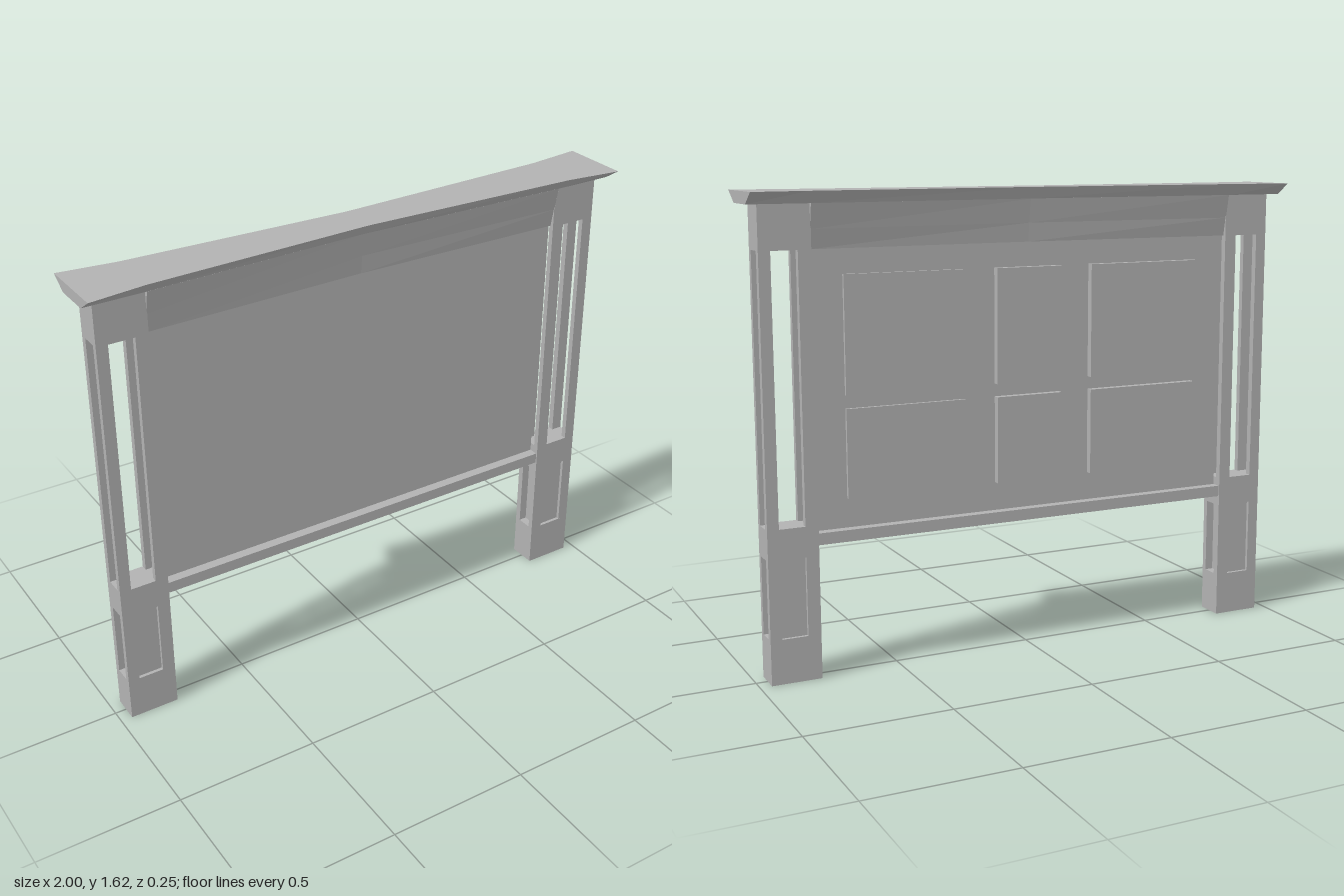
import * as THREE from 'three';

const paint = new THREE.MeshStandardMaterial({ color: 0xb2b2b2 });
paint.name = 'grey paint';

// Box from minimum and maximum corners
function block(parent, name, [x0, x1], [y0, y1], [z0, z1]) {
  const mesh = new THREE.Mesh(new THREE.BoxGeometry(x1 - x0, y1 - y0, z1 - z0), paint);
  mesh.position.set((x0 + x1) / 2, (y0 + y1) / 2, (z0 + z1) / 2);
  mesh.name = name;
  parent.add(mesh);
}

// Solid running along x: each section is [x, half depths from bottom to top]
function loft(name, heights, sections) {
  const rings = sections.map(([x, ...depths]) => {
    const front = depths.map((d, i) => [x, heights[i], d]);
    const back = depths.map((d, i) => [x, heights[i], -d]).reverse();
    return [...front, ...back];
  });
  const pos = [];
  const tri = (a, b, c) => pos.push(...a, ...b, ...c);
  const n = rings[0].length;
  for (let s = 0; s < rings.length - 1; s++) {
    for (let i = 0; i < n; i++) {
      const j = (i + 1) % n, a = rings[s], b = rings[s + 1];
      tri(a[i], b[i], b[j]);
      tri(a[i], b[j], a[j]);
    }
  }
  const first = rings[0], last = rings[rings.length - 1];
  for (let i = 1; i < n - 1; i++) {
    tri(first[0], first[i], first[i + 1]);
    tri(last[0], last[i + 1], last[i]);
  }
  const geometry = new THREE.BufferGeometry();
  geometry.setAttribute('position', new THREE.Float32BufferAttribute(pos, 3));
  geometry.computeVertexNormals();
  const mesh = new THREE.Mesh(geometry, paint);
  mesh.name = name;
  return mesh;
}

// Open leg: four corner posts, solid foot, recessed lower panel, rail and head
function leg(side) {
  const group = new THREE.Group();
  group.name = side > 0 ? 'leftLeg' : 'rightLeg';
  const span = (a, b) => (side > 0 ? [a, b] : [-b, -a]);
  for (const x of [span(0.785, 0.83), span(0.92, 0.96)]) {
    for (const z of [[0.03, 0.05], [-0.05, -0.027]]) {
      block(group, 'cornerPost', x, [0.155, 1.435], z);
    }
  }
  const full = span(0.785, 0.96);
  block(group, 'foot', full, [0, 0.155], [-0.05, 0.05]);
  block(group, 'lowerPanel', span(0.815, 0.93), [0.155, 0.425], [-0.038, 0.038]);
  block(group, 'middleRail', full, [0.425, 0.53], [-0.05, 0.05]);
  block(group, 'head', full, [1.435, 1.582], [-0.05, 0.05]);
  return group;
}

export function createModel() {
  const model = new THREE.Group();
  model.name = 'headboard';
  model.add(leg(1), leg(-1));

  // Main board and the rail under it
  block(model, 'mainPanel', [-0.785, 0.785], [0.49, 1.45], [-0.011, 0.01]);
  block(model, 'bottomRail', [-0.785, 0.785], [0.46, 0.5], [-0.045, 0.045]);

  // Raised panels on the back, three columns by two rows
  const columns = [[0.24, 0.67, -0.023], [-0.125, 0.125, -0.036], [-0.67, -0.24, -0.036]];
  for (const [x0, x1, z] of columns) {
    for (const y of [[0.6, 0.905], [0.95, 1.35]]) {
      block(model, 'raisedPanel', [x0, x1], y, [z, -0.01]);
    }
  }

  // Frieze flares upward and narrows toward the middle
  model.add(loft('frieze', [1.435, 1.5, 1.582], [
    [-0.787, 0.036, 0.048, 0.064],
    [0, 0.02, 0.027, 0.04],
    [0.787, 0.036, 0.048, 0.064],
  ]));

  // Cap with splayed edges and a waisted outline
  model.add(loft('cap', [1.582, 1.622], [
    [-1, 0.065, 0.125],
    [-0.8, 0.064, 0.1],
    [0, 0.04, 0.07],
    [0.8, 0.064, 0.1],
    [1, 0.065, 0.125],
  ]));
  return model;
}
